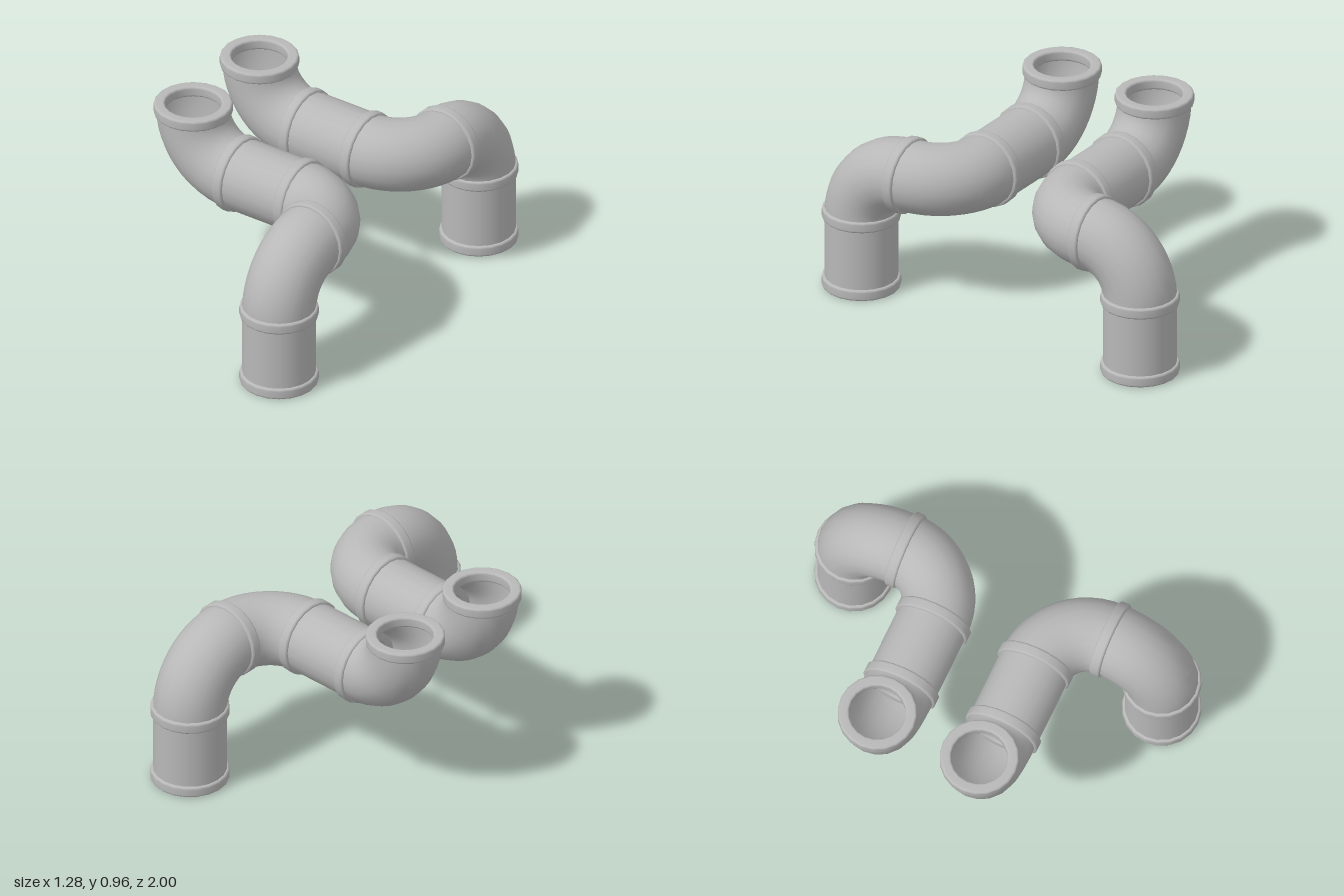
import * as THREE from 'three';

const SIDES = 20;
const PIPE_R = 0.177;   // pipe radius
const BEND_R = 0.27;    // centreline radius of every elbow
const AXIS_Y = 0.659;   // height of the horizontal run
const H = Math.PI / 2;

// Closed ring profile with softened corners, turned around the y axis
function collarGeometry() {
  const inner = 0.135, outer = 0.19, half = 0.028, r = 0.012;
  const corners = [
    [outer - r, -half + r, -H],
    [outer - r, half - r, 0],
    [inner + r, half - r, H],
    [inner + r, -half + r, Math.PI],
  ];
  const points = [];
  for (const [x, y, start] of corners) {
    for (let i = 0; i <= 3; i++) {
      const a = start + (i / 3) * H;
      points.push(new THREE.Vector2(x + r * Math.cos(a), y + r * Math.sin(a)));
    }
  }
  points.push(points[0].clone());
  return new THREE.LatheGeometry(points, SIDES);
}

export function createModel() {
  const model = new THREE.Group();
  model.name = 'pipes';
  const metal = new THREE.MeshStandardMaterial({ color: 0xb8b8b8, side: THREE.DoubleSide });
  metal.name = 'grey metal';

  const collarGeo = collarGeometry();
  const elbowGeo = new THREE.TorusGeometry(BEND_R, PIPE_R, SIDES, 12, H);

  function add(parent, name, geometry, position, rotation = [0, 0, 0]) {
    const mesh = new THREE.Mesh(geometry, metal);
    mesh.name = name;
    mesh.position.set(...position);
    mesh.rotation.set(...rotation);
    parent.add(mesh);
  }

  // One pipe run; s = 1 turns to the front, s = -1 to the back
  function pipeRun(name, s) {
    const run = new THREE.Group();
    run.name = name;
    const z1 = 0.268 * s, z2 = 0.538 * s, z3 = 0.808 * s;
    const topY = AXIS_Y + BEND_R, legY = AXIS_Y - BEND_R;
    const tube = (length) => new THREE.CylinderGeometry(PIPE_R, PIPE_R, length, SIDES, 1, true);

    // Elbows: down from the inlet, sideways, then down to the leg
    add(run, 'inletElbow', elbowGeo, [-0.18, topY, z1], [0, 0, Math.PI]);
    add(run, 'sideElbow', elbowGeo, [0.18, AXIS_Y, z2], [-H * s, 0, 0]);
    add(run, 'legElbow', elbowGeo, [0.45, legY, z2], [0, -H * s, 0]);

    // Straight pipes
    add(run, 'middlePipe', tube(0.36), [0, AXIS_Y, z1], [0, 0, H]);
    add(run, 'legPipe', tube(legY - 0.028), [0.45, (legY + 0.028) / 2, z3]);

    // Collars at every joint and both open ends
    add(run, 'inletCollar', collarGeo, [-0.45, topY + 0.003, z1]);
    for (const x of [-0.18, 0.18]) add(run, 'middleCollar', collarGeo, [x, AXIS_Y, z1], [0, 0, H]);
    add(run, 'elbowCollar', collarGeo, [0.45, AXIS_Y, z2], [H, 0, 0]);
    add(run, 'legCollar', collarGeo, [0.45, legY, z3]);
    add(run, 'footCollar', collarGeo, [0.45, 0.028, z3]);
    model.add(run);
  }

  pipeRun('frontPipe', 1);
  pipeRun('backPipe', -1);
  return model;
}
